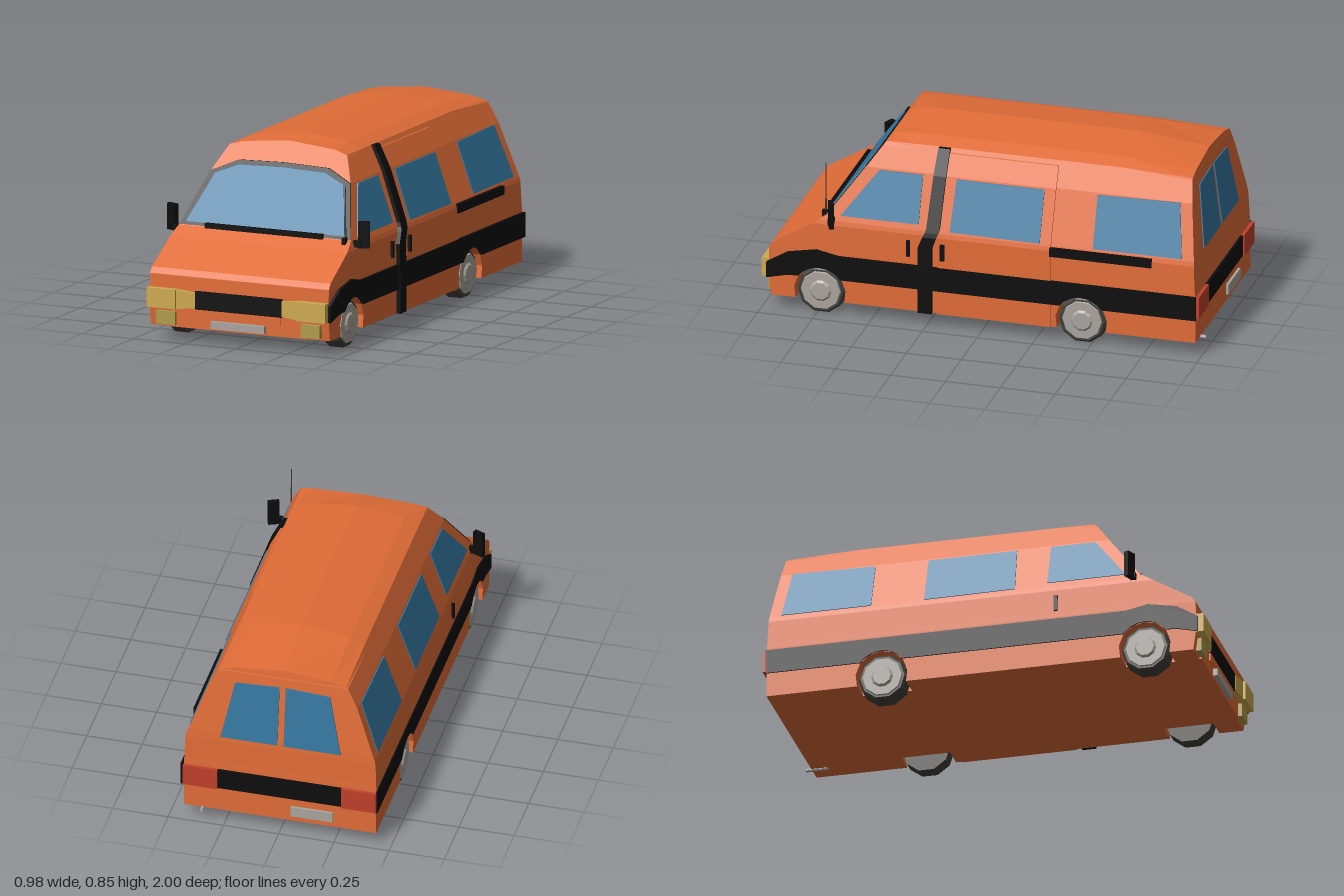
import * as THREE from 'three';

const mat = (name, color) => {
  const m = new THREE.MeshStandardMaterial({ color });
  m.name = name;
  return m;
};

// Body levels: height, half width, front z, back z
const LEVELS = [
  [0.24, 0.435, 0.967, -0.975], [0.30, 0.435, 0.965, -0.973], [0.325, 0.434, 0.945, -0.971],
  [0.43, 0.43, 0.77, -0.967], [0.45, 0.425, 0.74, -0.965], [0.47, 0.418, 0.71, -0.963],
  [0.69, 0.34, 0.55, -0.934], [0.78, 0.295, 0.485, -0.922],
];
const WHEELS = [0.735, -0.455];

// Interpolates one column of the level table at height y
function at(col, y) {
  if (y <= LEVELS[0][0]) return LEVELS[0][col];
  for (let i = 1; i < LEVELS.length; i++) {
    const a = LEVELS[i - 1], b = LEVELS[i];
    if (y <= b[0] || i === LEVELS.length - 1) {
      return a[col] + (b[col] - a[col]) * (y - a[0]) / (b[0] - a[0]);
    }
  }
}

function flat(geo) {
  const g = geo.index ? geo.toNonIndexed() : geo;
  g.computeVertexNormals();
  return g;
}

// Moves every vertex by a rule
function warp(geo, rule) {
  const p = geo.attributes.position, v = new THREE.Vector3();
  for (let i = 0; i < p.count; i++) {
    rule(v.fromBufferAttribute(p, i));
    p.setXYZ(i, v.x, v.y, v.z);
  }
  return flat(geo);
}

// Mirrors a geometry across x and restores the winding
function mirrorX(geo) {
  const g = flat(geo), p = g.attributes.position;
  g.scale(-1, 1, 1);
  const a = new THREE.Vector3(), b = new THREE.Vector3();
  for (let i = 0; i < p.count; i += 3) {
    a.fromBufferAttribute(p, i + 1);
    b.fromBufferAttribute(p, i + 2);
    p.setXYZ(i + 1, b.x, b.y, b.z);
    p.setXYZ(i + 2, a.x, a.y, a.z);
  }
  return flat(g);
}

const extrude = (pts, depth) => new THREE.ExtrudeGeometry(
  new THREE.Shape(pts.map(([x, y]) => new THREE.Vector2(x, y))), { depth, bevelEnabled: false });

// Plate drawn in (z, y), thick along x
const sideExtrude = (pts, thick) => extrude(pts, thick).rotateY(-Math.PI / 2).translate(thick, 0, 0);
// Plate that follows the leaning side wall
const sidePanel = (pts, off, thick) =>
  warp(sideExtrude(pts, thick), v => { v.x += at(1, v.y) + off; });
// Plate that follows the front (col 2) or the back (col 3)
const endPanel = (pts, col, thick) => {
  const g = extrude(pts, thick);
  if (col === 3) g.translate(0, 0, -thick);
  return warp(g, v => { v.z += at(col, v.y); });
};

// Edge running front to back at height y with both wheel arches cut out
function archEdge(y) {
  const r = 0.118, a0 = Math.asin((y - 0.11) / r), pts = [];
  for (const zc of WHEELS) {
    for (let i = 0; i <= 8; i++) {
      const a = a0 + (Math.PI - 2 * a0) * i / 8;
      pts.push([zc + r * Math.cos(a), 0.11 + r * Math.sin(a)]);
    }
  }
  return pts;
}

function bodyGeometry() {
  const pos = [];
  const quad = (a, b, c, d) => pos.push(...a, ...b, ...c, ...a, ...c, ...d);
  const rings = LEVELS.map(([y, x, f, b]) => [[-x, y, f], [x, y, f], [x, y, b], [-x, y, b]]);
  for (let k = 0; k + 1 < rings.length; k++) {
    for (let i = 0; i < 4; i++) {
      const j = (i + 1) % 4;
      quad(rings[k][i], rings[k][j], rings[k + 1][j], rings[k + 1][i]);
    }
  }
  quad(...[...rings[0]].reverse());
  // Roof: cross-sections from front to back
  const xs = [0.295, 0.285, 0.22, 0];
  const sections = [
    [[0.78, 0.485], [0.798, 0.472], [0.815, 0.46], [0.833, 0.447]],
    [[0.78, 0.33], [0.80, 0.33], [0.826, 0.33], [0.855, 0.33]],
    [[0.78, -0.6], [0.80, -0.6], [0.826, -0.6], [0.855, -0.6]],
    [[0.78, -0.922], [0.787, -0.92], [0.802, -0.918], [0.822, -0.915]],
  ].map(s => {
    const right = s.map(([y, z], i) => [xs[i], y, z]);
    const left = right.map(([x, y, z]) => [-x, y, z]);
    return [...left, ...right.slice(0, 3).reverse()];
  });
  for (let s = 0; s < 3; s++) {
    const a = sections[s], b = sections[s + 1];
    for (let i = 0; i < 6; i++) quad(a[i], a[i + 1], b[i + 1], b[i]);
  }
  const F = sections[0], B = sections[3];
  for (let i = 0; i < 2; i++) {
    quad(F[i], F[6 - i], F[5 - i], F[i + 1]);
    quad(B[6 - i], B[i], B[i + 1], B[5 - i]);
  }
  pos.push(...F[2], ...F[4], ...F[3], ...B[4], ...B[2], ...B[3]);
  const g = new THREE.BufferGeometry();
  g.setAttribute('position', new THREE.Float32BufferAttribute(pos, 3));
  return flat(g);
}

export function createModel() {
  const van = new THREE.Group();
  van.name = 'van';
  const orange = mat('orange paint', 0xe06c37), black = mat('black trim', 0x0d0d0d);
  const glass = mat('blue glass', 0x34779f), yellow = mat('yellow lamp', 0xcdaa50);
  const fog = mat('fog lamp', 0xb09c4c), grey = mat('light grey', 0xaaa59e);
  const rubber = mat('tyre rubber', 0x42403b), red = mat('red lamp', 0xc2402c);

  const add = (name, geo, m) => {
    const mesh = new THREE.Mesh(geo, m);
    mesh.name = name;
    van.add(mesh);
    return mesh;
  };
  // Box from its lower and upper corners
  const block = (x0, x1, y0, y1, z0, z1) => new THREE.BoxGeometry(x1 - x0, y1 - y0, z1 - z0)
    .translate((x0 + x1) / 2, (y0 + y1) / 2, (z0 + z1) / 2);
  const pair = (name, make, m) => {
    add(name + 'Left', make(), m);
    add(name + 'Right', mirrorX(make()), m);
  };
  // Side strip from rows of [y, front z, back z]
  const strip = (name, rows, off, thick, m) => {
    for (let i = 0; i + 1 < rows.length; i++) {
      const [y0, f0, b0] = rows[i], [y1, f1, b1] = rows[i + 1];
      add(name, sidePanel([[b0, y0], [f0, y0], [f1, y1], [b1, y1]], off, thick), m);
    }
  };

  // Shell, floor and sills with wheel arches
  add('bodyShell', bodyGeometry(), orange);
  add('floor', block(-0.33, 0.33, 0.07, 0.24, -0.975, 0.965), orange);
  pair('sill', () => flat(sideExtrude(
    [[-0.975, 0.24], [0.967, 0.24], [0.967, 0.16], [0.955, 0.07], ...archEdge(0.07), [-0.975, 0.07]], 0.105)
    .translate(0.33, 0, 0)), orange);
  add('airDam', block(-0.2, 0.2, 0.12, 0.16, 0.96, 0.972), orange);

  // Sliding door and the dark stripe on its front edge
  strip('slidingDoor', [0.07, 0.24, 0.43, 0.45, 0.47, 0.69, 0.78].map(y => [y, 0.2, -0.315]), 0, 0.008, orange);
  strip('doorStripe', [[0.07, 0.285, 0.222], [0.24, 0.285, 0.222], [0.38, 0.285, 0.222], [0.43, 0.265, 0.205],
    [0.45, 0.255, 0.195], [0.47, 0.25, 0.19], [0.69, 0.24, 0.183], [0.80, 0.233, 0.18]], 0, 0.018, black);

  // Side band
  const band = [[-0.978, 0.29], [0.65, 0.29], [0.75, 0.31], [0.88, 0.285], [0.975, 0.228],
    [0.975, 0.155], [0.88, 0.178], ...archEdge(0.18), [-0.978, 0.18]];
  add('sideBandLeft', sidePanel(band, 0, 0.014), black);
  add('sideBandRight', mirrorX(sidePanel(band, 0, 0.006)), black);

  // Side windows
  const cab = [[0.29, 0.476], [0.645, 0.476], [0.49, 0.682], [0.29, 0.682]];
  const middle = [[-0.265, 0.458], [0.145, 0.462], [0.135, 0.682], [-0.265, 0.682]];
  const rear = [[-0.91, 0.458], [-0.505, 0.458], [-0.505, 0.682], [-0.88, 0.689]];
  pair('cabWindow', () => sidePanel(cab, 0, 0.005), glass);
  pair('rearSideWindow', () => sidePanel(rear, 0, 0.005), glass);
  add('middleWindowLeft', sidePanel(middle, 0.006, 0.007), glass);
  add('middleWindowRight', mirrorX(sidePanel(middle, 0, 0.005)), glass);

  // Handles and sliding door rail
  pair('cabDoorHandle', () => block(0.425, 0.444, 0.328, 0.402, 0.325, 0.341), black);
  add('slidingDoorHandle', block(0.425, 0.452, 0.328, 0.402, 0.165, 0.184), black);
  add('doorRail', block(0.415, 0.445, 0.406, 0.445, -0.775, -0.312), black);

  // Windscreen with its dark surround and cowl
  const both = half => [...half, ...half.filter(p => p[0] > 0).reverse().map(([x, y]) => [-x, y])];
  add('windscreenSurround', endPanel(both([[0.416, 0.474], [0.338, 0.692], [0.22, 0.742], [0, 0.748]]), 2, 0.006), black);
  add('windscreen', endPanel(both([[0.385, 0.488], [0.312, 0.685], [0.21, 0.724], [0, 0.73]]), 2, 0.01), glass);
  add('cowl', block(-0.285, 0.285, 0.468, 0.49, 0.69, 0.725), black);

  // Nose: grille, lamps and plate
  add('grille', block(-0.21, 0.21, 0.158, 0.24, 0.95, 0.976), black);
  pair('headlamp', () => block(0.295, 0.434, 0.155, 0.241, 0.95, 1.0), yellow);
  pair('innerLamp', () => warp(block(0.21, 0.295, 0.155, 0.24, 0.95, 0.99), v => {
    if (v.x < 0.25) {
      v.y = 0.198 + (v.y - 0.198) * 0.8;
      if (v.z > 0.97) v.z = 0.978;
    }
  }), yellow);
  pair('fogLamp', () => block(0.305, 0.398, 0.08, 0.14, 0.94, 0.982), fog);
  add('frontPlate', block(-0.13, 0.13, 0.08, 0.113, 0.95, 0.985), grey);

  // Tail: windows, band, lamps, plate and exhaust
  pair('rearWindow', () => endPanel([[0.014, 0.455], [0.272, 0.455], [0.215, 0.73], [0.014, 0.74]], 3, 0.005), glass);
  add('rearBand', block(-0.28, 0.28, 0.19, 0.285, -0.985, -0.96), black);
  pair('tailLamp', () => block(0.28, 0.437, 0.188, 0.288, -0.992, -0.977), red);
  add('rearPlate', block(-0.24, -0.05, 0.1, 0.148, -0.987, -0.96), grey);
  add('exhaust', flat(new THREE.CylinderGeometry(0.008, 0.008, 0.1, 8).rotateX(Math.PI / 2).translate(0.35, 0.068, -0.95)), grey);

  // Mirrors and aerial
  pair('mirror', () => block(-0.025, 0.025, 0.437, 0.555, -0.011, 0.011).rotateY(0.4).translate(0.465, 0, 0.675), black);
  pair('mirrorArm', () => block(0.41, 0.455, 0.44, 0.468, 0.67, 0.695), black);
  add('aerialBase', block(0.385, 0.402, 0.455, 0.485, 0.705, 0.735), black);
  add('aerial', flat(new THREE.CylinderGeometry(0.002, 0.004, 0.24, 6).translate(0.396, 0.59, 0.718)), rubber);

  // Wheels: ten-sided tyre with a stepped hub
  const disc = (r0, r1, x0, x1, z) => flat(new THREE.CylinderGeometry(r1, r0, x1 - x0, 10)
    .rotateZ(-Math.PI / 2).translate((x0 + x1) / 2, 0.11, z));
  for (const z of WHEELS) {
    const end = z > 0 ? 'front' : 'rear';
    pair(end + 'Tyre', () => disc(0.11, 0.11, 0.342, 0.408, z), rubber);
    pair(end + 'TyreShoulder', () => disc(0.11, 0.1, 0.408, 0.418, z), rubber);
    pair(end + 'Hub', () => disc(0.096, 0.088, 0.41, 0.424, z), grey);
    pair(end + 'HubCap', () => disc(0.055, 0.04, 0.42, 0.432, z), grey);
  }
  return van;
}
